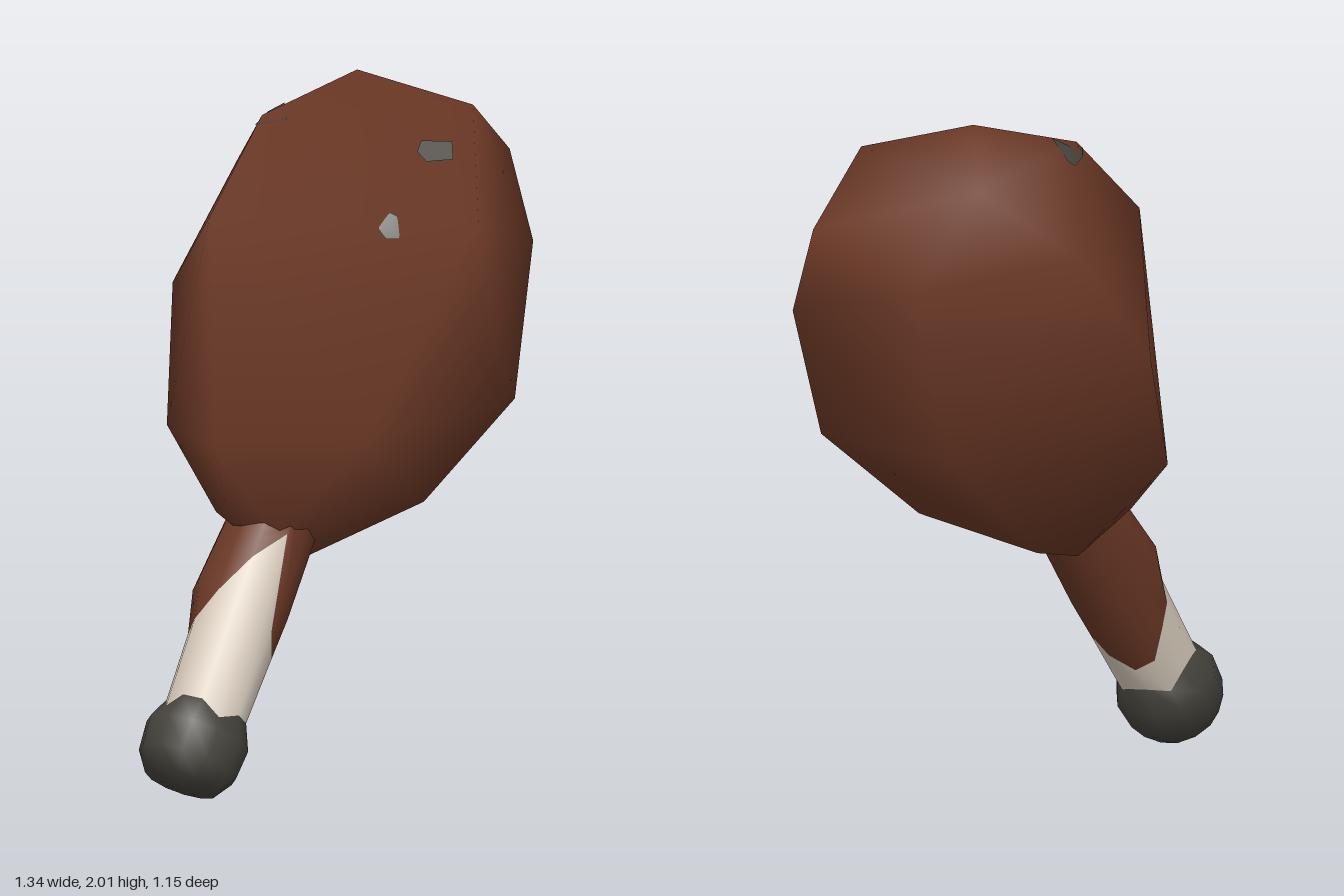
import * as THREE from 'three';
import { mergeVertices } from 'three/addons/utils/BufferGeometryUtils.js';
import { ConvexGeometry } from 'three/addons/geometries/ConvexGeometry.js';

const V = (x, y, z) => new THREE.Vector3(x, y, z);
const SIDES = 12;

// leg axis: start in the neck of the meat, direction, and two perpendicular axes
const start = V(-0.23, 0.7, 0.18);
const along = V(-0.43, -0.83, 0.356).normalize();
const across = V(0.89, -0.46, 0).normalize();
const front = along.clone().cross(across).normalize();

// point on the leg at column j, distance t along the axis, radius r
function legPoint(j, t, r) {
  const a = (j / SIDES) * Math.PI * 2;
  return start.clone().addScaledVector(along, t)
    .addScaledVector(across, r * Math.cos(a))
    .addScaledVector(front, r * Math.sin(a));
}

// smooth skin over rings of points; capped closes the last ring with a centre
function loft(rings, cap) {
  const pos = [], index = [];
  rings.forEach((ring) => ring.forEach((p) => pos.push(p.x, p.y, p.z)));
  const at = (i, j) => i * SIDES + (j % SIDES);
  for (let i = 0; i < rings.length - 1; i++) {
    for (let j = 0; j < SIDES; j++) {
      index.push(at(i, j), at(i, j + 1), at(i + 1, j));
      index.push(at(i, j + 1), at(i + 1, j + 1), at(i + 1, j));
    }
  }
  if (cap) {
    pos.push(cap.x, cap.y, cap.z);
    const last = rings.length - 1;
    for (let j = 0; j < SIDES; j++) index.push(at(last, j), at(last, j + 1), rings.length * SIDES);
  }
  const g = new THREE.BufferGeometry();
  g.setAttribute('position', new THREE.Float32BufferAttribute(pos, 3));
  g.setIndex(index);
  g.computeVertexNormals();
  return g;
}

export function createModel() {
  const group = new THREE.Group();
  const material = (name, color, side = THREE.FrontSide) => {
    const m = new THREE.MeshStandardMaterial({ color, side });
    m.name = name;
    return m;
  };
  const brown = material('roastBrown', 0x6b3825, THREE.DoubleSide);
  const cream = material('boneCream', 0xd8ccbd);
  const dark = material('charGrey', 0x45423b, THREE.DoubleSide);
  const add = (name, geometry, mat) => {
    const mesh = new THREE.Mesh(geometry, mat);
    mesh.name = name;
    group.add(mesh);
    return mesh;
  };

  // plump faceted body of meat
  const corners = [
    [0.14, 2.0, -0.21], [0.45, 1.91, -0.06], [-0.18, 1.91, -0.08], [0.16, 1.87, -0.525],
    [0.62, 1.72, -0.29], [-0.39, 1.66, 0.12], [0.38, 1.63, 0.27], [-0.13, 1.67, -0.56],
    [0.36, 1.58, -0.575], [0.67, 1.46, -0.21], [-0.35, 1.34, -0.46], [0.25, 1.07, -0.53],
    [0.56, 1.04, 0], [0, 1.04, 0.445], [-0.41, 1.0, 0.24], [-0.43, 0.97, -0.22],
    [0.26, 0.77, 0.1], [-0.04, 0.73, -0.28],
    // narrow neck
    [-0.36, 0.77, 0.08], [-0.36, 0.77, 0.23], [-0.24, 0.74, 0.3], [-0.11, 0.65, 0.19], [-0.2, 0.64, 0.05],
  ].map((p) => V(...p));
  let meatGeometry = new ConvexGeometry(corners);
  meatGeometry.deleteAttribute('normal');
  meatGeometry = mergeVertices(meatGeometry, 1e-4);
  meatGeometry.computeVertexNormals();
  const meat = add('meat', meatGeometry, brown);

  // sleeve of meat with a ragged end, and the bone that continues from it
  const ragged = [0.36, 0.34, 0.28, 0, 0.1, 0.22, 0.31, 0.34, 0.38, 0.46, 0.47, 0.41];
  const charEdge = ragged.map((_, j) => 0.56 + (j % 3 === 0 ? 0.025 : -0.01));
  const radius = (t) => 0.143 - 0.04 * Math.max(t, 0);
  const ring = (f) => ragged.map((_, j) => legPoint(j, ...f(j)));
  const sleeveEnd = ring((j) => [ragged[j], radius(ragged[j])]);
  const boneEnd = ring((j) => [charEdge[j], 0.123]);
  add('meatSleeve', loft([
    ring(() => [-0.12, 0.13]),
    ring((j) => {
      const t = -0.12 + (ragged[j] + 0.12) * 0.72;
      return [t, radius(t) + (j >= 6 && j <= 7 ? 0.025 : 0)];
    }),
    sleeveEnd,
  ]), brown);
  add('bone', loft([sleeveEnd, boneEnd]), cream);

  // dark knuckle at the end of the bone
  add('knuckle', loft([
    boneEnd,
    ring(() => [0.63, 0.157]),
    ring(() => [0.72, 0.15]),
    ring(() => [0.78, 0.11]),
  ], start.clone().addScaledVector(along, 0.79)), dark);

  // small charred patches laid on the skin, outlined from above or from the front
  const ray = new THREE.Raycaster();
  function patch(name, outline, fromAbove) {
    const n = outline.length;
    const centre = [0, 1].map((k) => outline.reduce((s, p) => s + p[k], 0) / n);
    const pos = [];
    for (const [a, b] of [...outline, centre]) {
      if (fromAbove) ray.set(V(a, 3, b), V(0, -1, 0));
      else ray.set(V(a, b, 3), V(0, 0, -1));
      const hit = ray.intersectObject(meat)[0];
      const p = hit.point.addScaledVector(hit.face.normal, 0.005);
      pos.push(p.x, p.y, p.z);
    }
    const index = [];
    for (let i = 0; i < n; i++) index.push(n, i, (i + 1) % n);
    const g = new THREE.BufferGeometry();
    g.setAttribute('position', new THREE.Float32BufferAttribute(pos, 3));
    g.setIndex(index);
    g.computeVertexNormals();
    add(name, g, dark);
  }
  patch('charPatchTop', [[-0.16, -0.19], [-0.19, -0.11], [-0.2, -0.06], [-0.11, -0.06], [-0.1, -0.12], [-0.14, -0.19]], true);
  patch('charPatchSide', [[0.27, 0.03], [0.25, 0.06], [0.27, 0.09], [0.35, 0.09], [0.36, 0.04]], true);
  patch('charPatchFront', [[0.09, 1.62], [0.11, 1.59], [0.15, 1.59], [0.15, 1.65], [0.13, 1.66]], false);

  return group;
}
